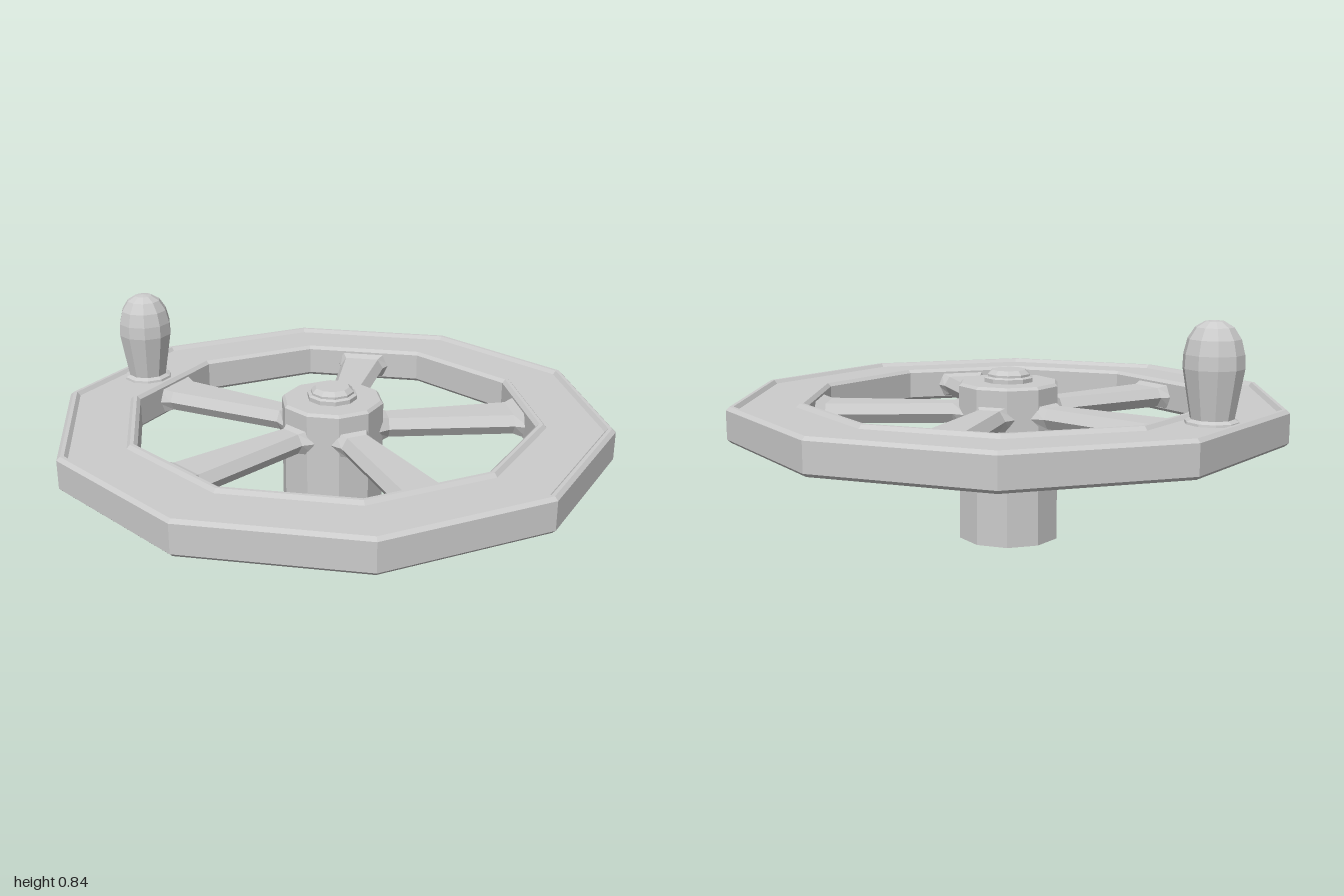
import * as THREE from 'three';

const SIDES = 10;
const material = new THREE.MeshStandardMaterial({ color: 0xcccccc, flatShading: true });

// Ten-sided turned part from [radius, height] pairs
function turned(name, profile) {
  const points = profile.map(([r, y]) => new THREE.Vector2(r, y));
  const mesh = new THREE.Mesh(new THREE.LatheGeometry(points, SIDES), material);
  mesh.name = name;
  return mesh;
}

// Tapered bar along +x with a chamfered six-sided section, flared at both ends
function spokeGeometry() {
  const stations = [ // x, half width, half height
    [0.15, 0.085, 0.05], [0.2, 0.06, 0.036], [0.655, 0.088, 0.036], [0.705, 0.11, 0.05],
  ];
  const mid = 0.46;
  const section = [[-1, 1], [1, 1], [1, 0], [1, -1], [-1, -1], [-1, 0]];
  const positions = [];
  const index = [];
  stations.forEach(([x, w, h], i) => {
    section.forEach(([sz, sy], j) => {
      const halfWidth = sy === 0 ? w : w - 0.022;
      positions.push(x, mid + sy * h, sz * halfWidth);
      if (i === stations.length - 1) return;
      const a = i * 6 + j;
      const b = i * 6 + (j + 1) % 6;
      index.push(a, b, b + 6, a, b + 6, a + 6);
    });
  });
  const geometry = new THREE.BufferGeometry();
  geometry.setAttribute('position', new THREE.Float32BufferAttribute(positions, 3));
  geometry.setIndex(index);
  geometry.computeVertexNormals();
  return geometry;
}

export function createModel() {
  const model = new THREE.Group();
  model.name = 'handwheel';

  // Rim with raised lips around recessed top and bottom faces
  model.add(turned('rim', [
    [0.985, 0.4], [0.998, 0.412], [0.998, 0.513], [0.985, 0.525],
    [0.972, 0.525], [0.96, 0.512], [0.762, 0.512], [0.75, 0.525],
    [0.737, 0.525], [0.724, 0.513], [0.724, 0.412], [0.737, 0.4],
    [0.75, 0.4], [0.762, 0.413], [0.96, 0.413], [0.972, 0.4], [0.985, 0.4],
  ]));

  // Hub with its shaft
  model.add(turned('hub', [
    [0, 0], [0.185, 0], [0.185, 0.562], [0.175, 0.572], [0, 0.572],
  ]));

  // Retaining nut on the hub
  model.add(turned('hubNut', [
    [0.09, 0.57], [0.09, 0.587], [0.078, 0.592], [0.078, 0.6], [0.062, 0.615], [0, 0.615],
  ]));

  // Five spokes, the first pointing to -x
  const geometry = spokeGeometry();
  for (let i = 0; i < 5; i++) {
    const spoke = new THREE.Mesh(geometry, material);
    spoke.name = `spoke${i + 1}`;
    spoke.rotation.y = Math.PI + (i * Math.PI * 2) / 5;
    model.add(spoke);
  }

  // Crank knob standing on the rim
  const knob = turned('knob', [
    [0.09, 0.51], [0.088, 0.52], [0.072, 0.528], [0.088, 0.62], [0.1, 0.69],
    [0.098, 0.735], [0.086, 0.783], [0.062, 0.82], [0.032, 0.838], [0, 0.842],
  ]);
  knob.position.set(-0.255, 0, -0.78);
  model.add(knob);

  return model;
}
